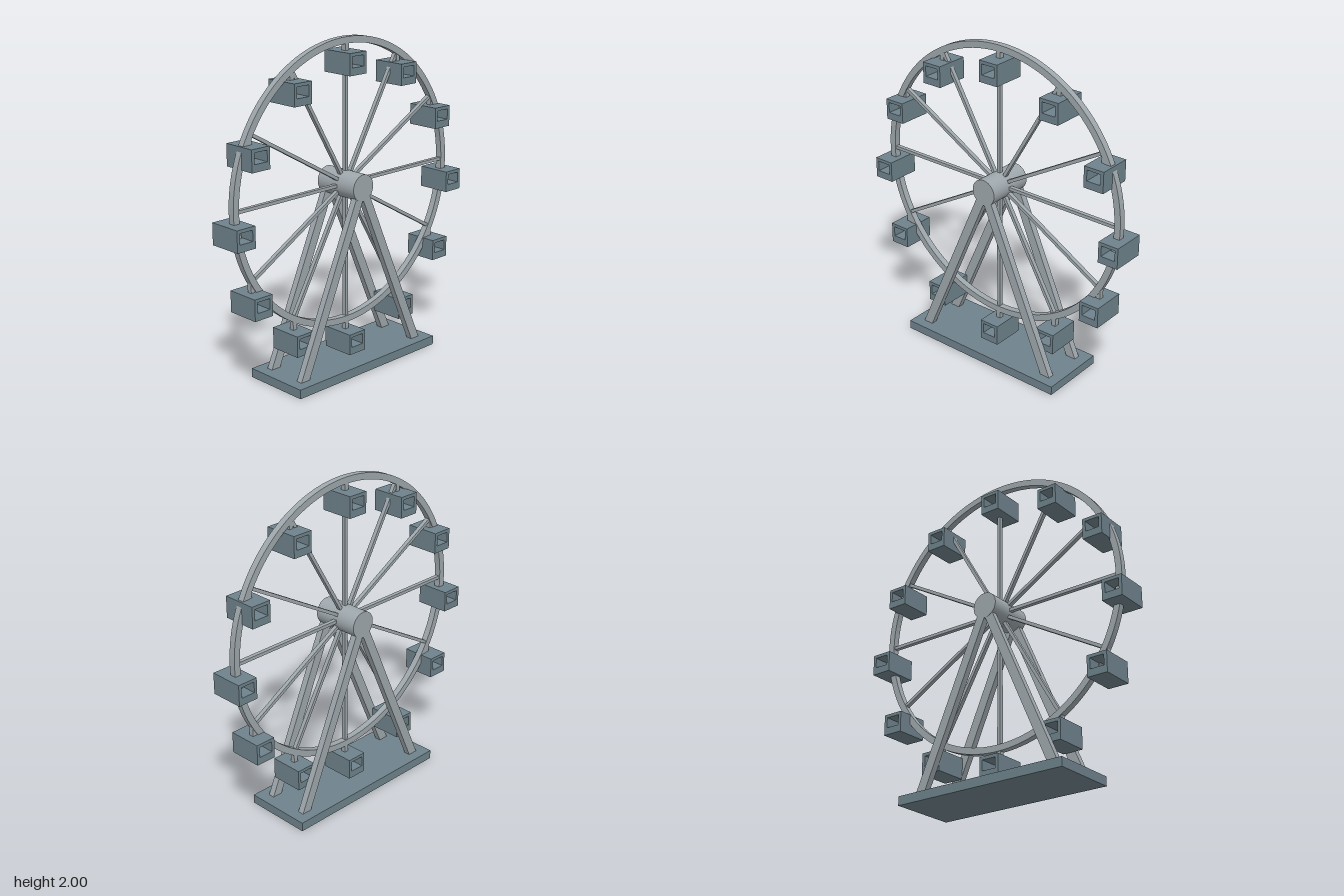
import * as THREE from 'three';

const steel = new THREE.MeshStandardMaterial({ color: 0x9ea7ac });
steel.name = 'steel grey';
const slate = new THREE.MeshStandardMaterial({ color: 0x6e828b });
slate.name = 'slate blue';

const AXLE_Y = 1.13, RIM_OUT = 0.87, RIM_IN = 0.83;

function add(parent, name, geometry, material, x = 0, y = 0, z = 0) {
  const mesh = new THREE.Mesh(geometry, material);
  mesh.name = name;
  mesh.position.set(x, y, z);
  parent.add(mesh);
  return mesh;
}

// Extrusion along z, centred on z = 0
function extrude(shape, depth, curveSegments = 12) {
  return new THREE.ExtrudeGeometry(shape, { depth, curveSegments, bevelEnabled: false })
    .translate(0, 0, -depth / 2);
}

// Flat four-sided outline between two x and two y limits
function rectangle(x0, y0, x1, y1, Type = THREE.Shape) {
  return new Type([[x0, y0], [x1, y0], [x1, y1], [x0, y1]].map(p => new THREE.Vector2(...p)));
}

export function createModel() {
  const model = new THREE.Group();
  model.name = 'ferrisWheel';

  add(model, 'base', new THREE.BoxGeometry(1.14, 0.056, 0.426), slate, 0, 0.028);

  // Splayed legs, two on each side of the wheel
  const legs = new THREE.Group();
  legs.name = 'legs';
  model.add(legs);
  for (const sx of [-1, 1]) for (const sz of [-1, 1]) {
    const outline = [[0.44, 0.05], [0.505, 0.05], [0.031, AXLE_Y], [-0.031, AXLE_Y]]
      .map(([x, y]) => new THREE.Vector2(sx * x, y));
    add(legs, 'leg', extrude(new THREE.Shape(outline), 0.04), steel, 0, 0, sz * 0.129);
  }

  // Hub, rim and spokes
  const wheel = new THREE.Group();
  wheel.name = 'wheel';
  wheel.position.y = AXLE_Y;
  model.add(wheel);
  add(wheel, 'hub', new THREE.CylinderGeometry(0.081, 0.081, 0.3, 40).rotateX(Math.PI / 2), steel);
  const ring = new THREE.Shape().absarc(0, 0, RIM_OUT, 0, Math.PI * 2);
  ring.holes.push(new THREE.Path().absarc(0, 0, RIM_IN, 0, Math.PI * 2, true));
  add(wheel, 'rim', extrude(ring, 0.04, 72), steel);

  const spokeGeometry = new THREE.BoxGeometry(0.84, 0.02, 0.026).translate(0.42, 0, 0);

  // Cabin: an open tube with a deeper floor, hung from the rim
  const cabinShape = rectangle(-0.065, -0.065, 0.065, 0.065);
  cabinShape.holes.push(rectangle(-0.045, -0.02, 0.045, 0.045, THREE.Path));
  const cabinGeometry = extrude(cabinShape, 0.21);
  const hangerGeometry = new THREE.BoxGeometry(0.028, 0.075, 0.03);

  for (let i = 0; i < 12; i++) {
    const a = i * Math.PI / 6;
    add(wheel, 'spoke', spokeGeometry, steel).rotation.z = a;
    const cabin = new THREE.Group();
    cabin.name = 'hangingCabin';
    cabin.position.set(Math.cos(a) * 0.853, AXLE_Y + Math.sin(a) * 0.853, 0);
    add(cabin, 'hanger', hangerGeometry, steel, 0, -0.033);
    add(cabin, 'cabin', cabinGeometry, slate, 0, -0.128);
    model.add(cabin);
  }
  return model;
}
